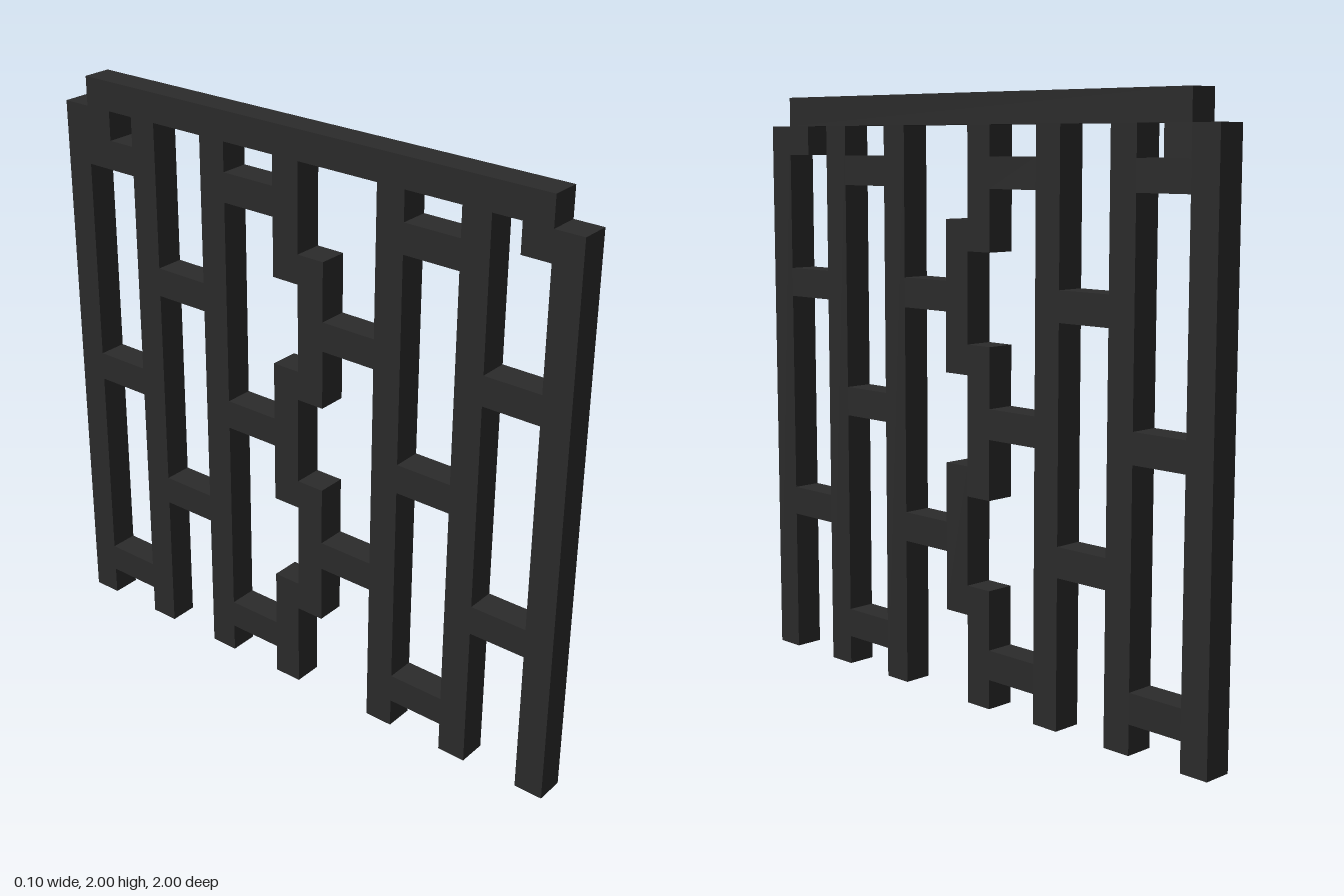
import * as THREE from 'three';

export function createModel() {
  const group = new THREE.Group();
  const iron = new THREE.MeshStandardMaterial({ color: 0x2b2b2b });
  const T = 0.1; // thickness of every bar

  // Square-section bar spanning z0..z1 and y0..y1
  function bar(name, z0, z1, y0, y1) {
    const mesh = new THREE.Mesh(new THREE.BoxGeometry(T, y1 - y0, z1 - z0), iron);
    mesh.position.set(0, (y0 + y1) / 2, (z0 + z1) / 2);
    mesh.name = name;
    group.add(mesh);
  }

  // Top rail
  bar('topRail', -0.9, 0.9, 1.9, 2);

  // Straight uprights, mirrored front to back
  for (const z of [0.3, 0.6, 0.9]) {
    bar('frontUpright', z, z + T, 0, 1.9);
    bar('backUpright', -z - T, -z, 0, 1.9);
  }

  // Blocks in the stepped top corners
  bar('frontCornerBlock', 0.8, 0.9, 1.8, 1.9);
  bar('backCornerBlock', -0.9, -0.8, 1.8, 1.9);

  // Zigzag centre upright: [z, bottom, top]
  const steps = [[-0.1, 0, 0.4], [0, 0.3, 0.8], [-0.1, 0.7, 1.2], [0, 1.1, 1.6], [-0.1, 1.5, 1.9]];
  for (const [z, y0, y1] of steps) bar('zigzagUpright', z, z + T, y0, y1);

  // Rungs, staggered between neighbouring bays
  for (const z of [0.4, -0.3, -0.9])
    for (const y of [0.1, 0.9, 1.7]) bar('outerRung', z, z + 0.2, y, y + T);
  for (const z of [0.7, 0.1, -0.6])
    for (const y of [0.5, 1.3]) bar('innerRung', z, z + 0.2, y, y + T);

  return group;
}
